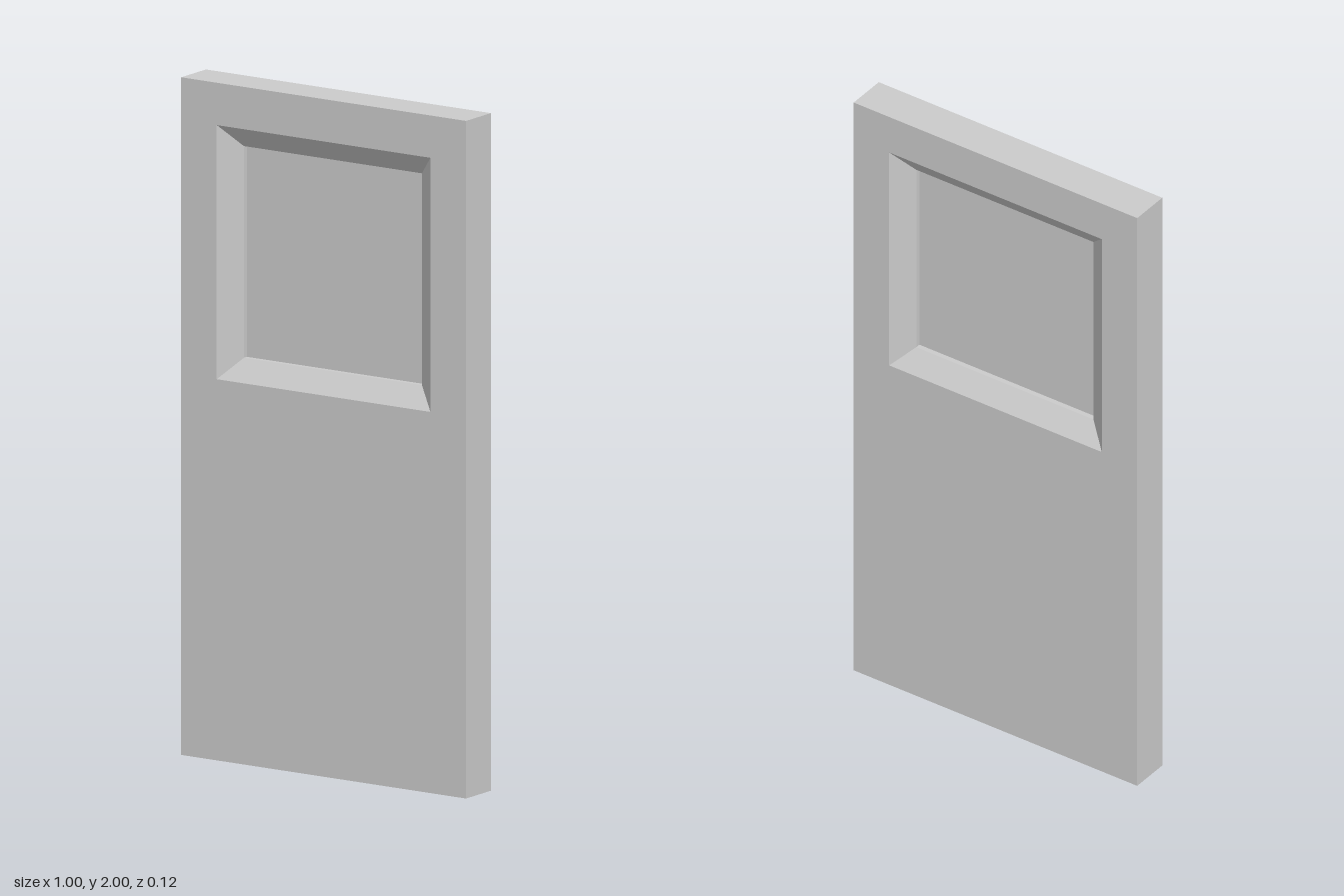
import * as THREE from 'three';

const material = new THREE.MeshStandardMaterial({ color: 0xcccccc, flatShading: true });

// Rectangular loop of four corners, counter-clockwise seen from the front
const rect = (halfWidth, bottom, top, z) => [
  [-halfWidth, bottom, z], [halfWidth, bottom, z], [halfWidth, top, z], [-halfWidth, top, z],
];

// Joins each loop to the next, and the last back to the first, with flat quads
function ringGeometry(loops) {
  const positions = [];
  loops.forEach((a, i) => {
    const b = loops[(i + 1) % loops.length];
    for (let j = 0; j < 4; j++) {
      const k = (j + 1) % 4;
      positions.push(...a[j], ...b[j], ...b[k], ...a[j], ...b[k], ...a[k]);
    }
  });
  const geometry = new THREE.BufferGeometry();
  geometry.setAttribute('position', new THREE.Float32BufferAttribute(positions, 3));
  geometry.computeVertexNormals();
  return geometry;
}

export function createModel() {
  const group = new THREE.Group();
  group.name = 'door';

  const halfDepth = 0.0625; // half the door thickness
  const halfLip = 0.0156;   // half the flat lip holding the pane
  const windowY = 1.5;
  const outer = 0.375;      // half size of the opening at the door face
  const inner = 0.3125;     // half size of the opening at the pane
  const opening = (half, z) => rect(half, windowY - half, windowY + half, z);

  // Slab with a window opening bevelled on both faces
  const slab = new THREE.Mesh(ringGeometry([
    rect(0.5, 0, 2, halfDepth),
    rect(0.5, 0, 2, -halfDepth),
    opening(outer, -halfDepth),
    opening(inner, -halfLip),
    opening(inner, halfLip),
    opening(outer, halfDepth),
  ]), material);
  slab.name = 'doorSlab';
  group.add(slab);

  // Thin pane in the middle of the opening
  const paneMaterial = material.clone();
  paneMaterial.side = THREE.DoubleSide;
  const pane = new THREE.Mesh(new THREE.PlaneGeometry(2 * inner, 2 * inner), paneMaterial);
  pane.position.y = windowY;
  pane.name = 'windowPane';
  group.add(pane);

  return group;
}
